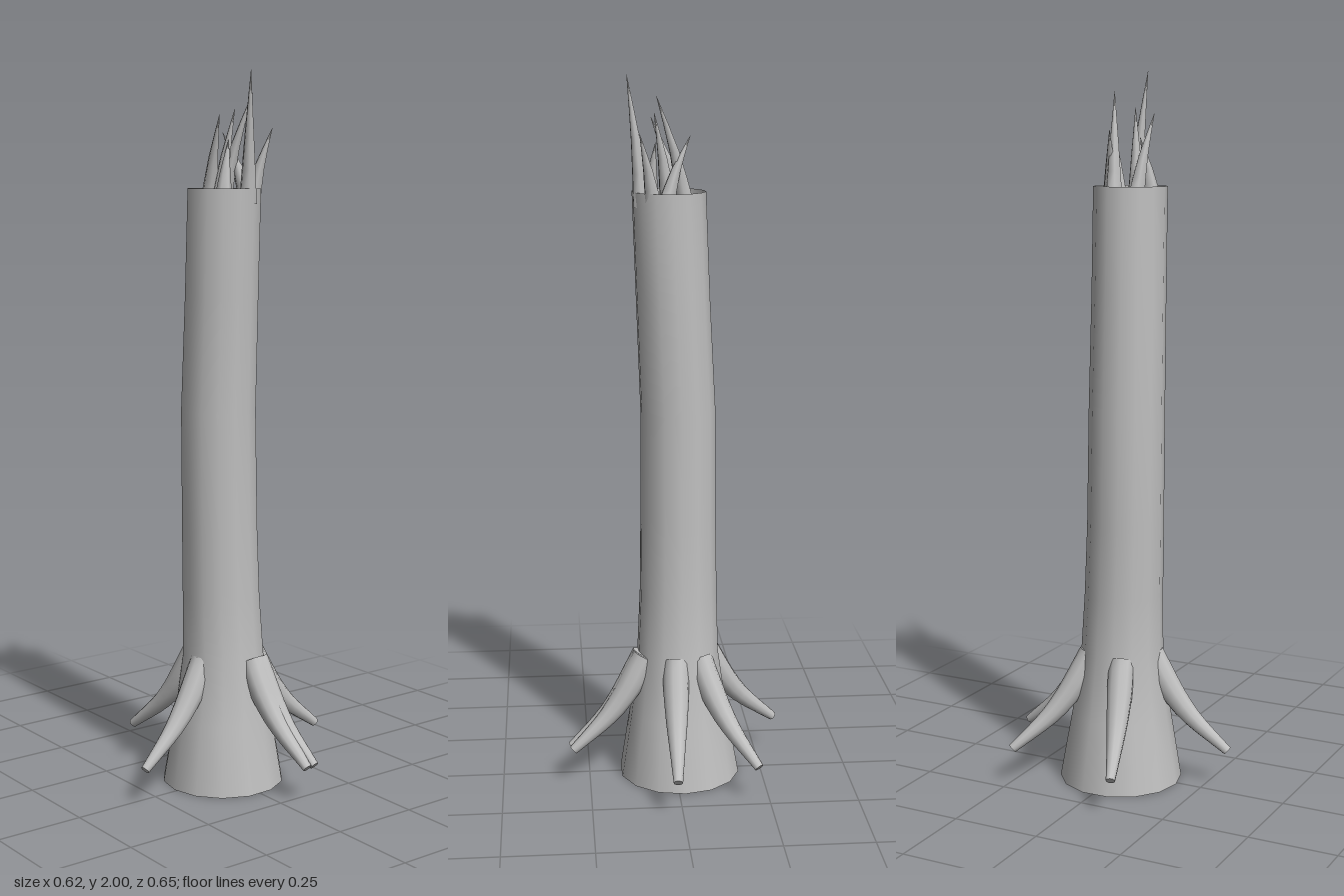
import * as THREE from 'three';

const bark = new THREE.MeshStandardMaterial({ color: 0xbfbfbf, side: THREE.DoubleSide });
bark.name = 'greyBark';

// Skin over rings of points, each ring with the same number of corners
function skin(rings) {
  const n = rings[0].length, pos = [], idx = [];
  rings.forEach(ring => ring.forEach(p => pos.push(p.x, p.y, p.z)));
  for (let i = 0; i < rings.length - 1; i++) {
    for (let j = 0; j < n; j++) {
      const a = i * n + j, b = i * n + (j + 1) % n;
      idx.push(a, a + n, b, b, a + n, b + n);
    }
  }
  const g = new THREE.BufferGeometry();
  g.setAttribute('position', new THREE.Float32BufferAttribute(pos, 3));
  g.setIndex(idx);
  g.computeVertexNormals();
  return g;
}

// Tapered round sweep along a smooth path
function taper(points, radii, sides, steps) {
  const curve = new THREE.CatmullRomCurve3(points);
  const { normals, binormals } = curve.computeFrenetFrames(steps, false);
  const rings = [];
  for (let i = 0; i <= steps; i++) {
    const t = i / steps, c = curve.getPointAt(t);
    const f = t * (radii.length - 1), k = Math.min(Math.floor(f), radii.length - 2);
    const r = THREE.MathUtils.lerp(radii[k], radii[k + 1], f - k);
    const ring = [];
    for (let j = 0; j < sides; j++) {
      const a = -j / sides * Math.PI * 2;
      ring.push(c.clone().addScaledVector(normals[i], Math.cos(a) * r)
        .addScaledVector(binormals[i], Math.sin(a) * r));
    }
    rings.push(ring);
  }
  return { geometry: skin(rings), rings };
}

// Flat lid over one ring
function lid(ring) {
  const c = ring.reduce((s, p) => s.add(p), new THREE.Vector3()).divideScalar(ring.length);
  return skin([ring, ring.map(() => c)]);
}

export function createModel() {
  const group = new THREE.Group();
  const add = (name, geometry, parent = group) => {
    const m = new THREE.Mesh(geometry, bark);
    m.name = name;
    parent.add(m);
    return m;
  };

  // Hollow leaning trunk: y, centre x, centre z, radius
  const levels = [
    [0.005, -0.013, 0.003, 0.174], [0.2, -0.01, 0.004, 0.141], [0.38, -0.008, 0.005, 0.117],
    [0.55, -0.01, 0.011, 0.111], [0.75, -0.01, 0.016, 0.108], [1.08, -0.01, 0.02, 0.106],
    [1.4, 0.004, 0.019, 0.103], [1.69, 0.015, 0.018, 0.102],
  ];
  const sides = 14;
  add('trunk', skin(levels.map(([y, x, z, r]) => Array.from({ length: sides }, (_, j) => {
    const a = -j / sides * Math.PI * 2 + 0.2;
    return new THREE.Vector3(x + Math.cos(a) * r, y, z + Math.sin(a) * r);
  }))));

  // Wood core just below the broken rim
  const core = add('core', new THREE.CircleGeometry(0.093, 11));
  core.rotation.x = -Math.PI / 2;
  core.position.set(0.02, 1.655, 0.018);

  // Roots: start x, z and tip x, z
  const roots = [
    [0.09, -0.035, 0.298, -0.08], [0.09, -0.02, 0.302, -0.052], [0.004, -0.085, 0.016, -0.318],
    [-0.065, -0.065, -0.218, -0.239], [-0.09, 0.045, -0.303, 0.119], [0.01, 0.09, 0.044, 0.313],
  ];
  roots.forEach(([x0, z0, x1, z1]) => {
    const root = new THREE.Group();
    root.name = 'root';
    const path = [[0, 0.375], [0.22, 0.285], [0.5, 0.205], [1, 0.11]].map(([t, y]) =>
      new THREE.Vector3(x0 + (x1 - x0) * t, y, z0 + (z1 - z0) * t));
    const { geometry, rings } = taper(path, [0.036, 0.037, 0.03, 0.021, 0.013], 10, 10);
    add('rootBody', geometry, root);
    add('rootTop', lid(rings[0]), root);
    add('rootTip', lid(rings[rings.length - 1]), root);
    group.add(root);
  });

  // Splinters: base x, z and tip x, y, z
  const splinters = [
    [0.09, -0.005, 0.128, 2.0, 0.015], [-0.03, -0.01, 0.053, 1.945, -0.05],
    [0.06, -0.04, 0.1, 1.85, -0.08], [0.03, -0.05, -0.04, 1.84, -0.018],
    [0.015, 0.035, 0.055, 1.9, 0.013], [-0.015, 0.048, 0.06, 1.885, 0.068],
    [0.065, 0.06, 0.05, 1.82, 0.03],
  ];
  splinters.forEach(([x0, z0, x1, y1, z1]) => {
    const base = new THREE.Vector3(x0, 1.65, z0), tip = new THREE.Vector3(x1, y1, z1);
    const mid = base.clone().lerp(tip, 0.5);
    mid.x -= (x1 - x0) * 0.1;
    mid.z -= (z1 - z0) * 0.1;
    add('splinter', taper([base, mid, tip], [0.026, 0.014, 0.0005], 6, 4).geometry);
  });
  return group;
}
